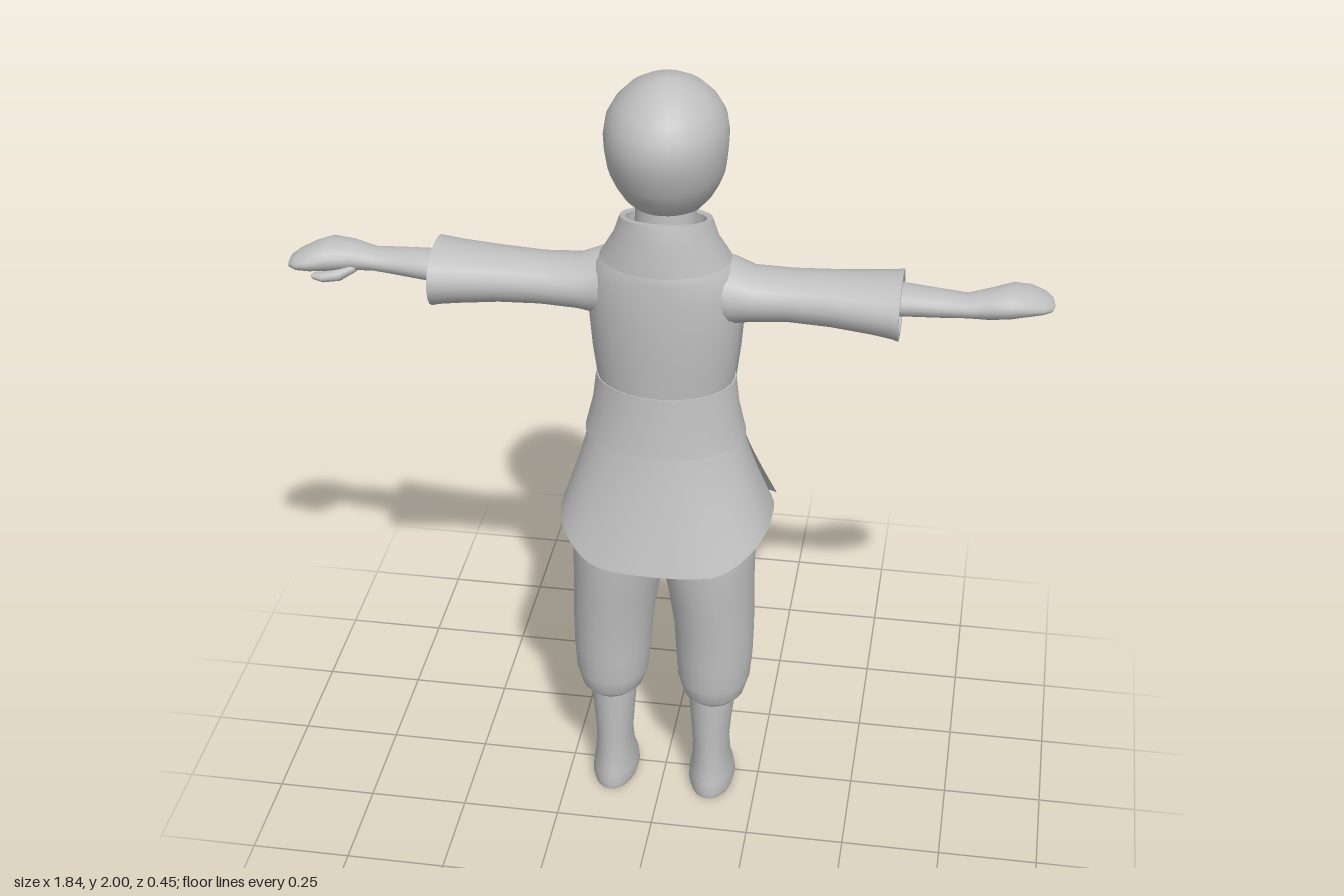
import * as THREE from 'three';

const clay = new THREE.MeshStandardMaterial({ color: 0xbfbfbf, side: THREE.DoubleSide });
clay.name = 'clay grey';

// Smooth surface from a grid of points; point(i, t) with t running 0..1 along each row
function surface(name, rows, cols, closed, point) {
  const pos = [], index = [], n = closed ? cols : cols + 1;
  for (let i = 0; i < rows; i++)
    for (let j = 0; j < n; j++) pos.push(...point(i, j / cols));
  for (let i = 0; i < rows - 1; i++)
    for (let j = 0; j < cols; j++) {
      const a = i * n + j, b = i * n + (j + 1) % n;
      index.push(a, a + n, b, b, a + n, b + n);
    }
  const geo = new THREE.BufferGeometry();
  geo.setAttribute('position', new THREE.Float32BufferAttribute(pos, 3));
  geo.setIndex(index);
  geo.computeVertexNormals();
  const mesh = new THREE.Mesh(geo, clay);
  mesh.name = name;
  return mesh;
}

// Collapsed ring that closes the end of a loft
const cap = ([p, a0, a1, b0, b1]) => {
  const a = (a0 + a1) / 2, b = (b0 + b1) / 2;
  return [p, a, a, b, b];
};

// Point on an oval ring given as [position, a0, a1, b0, b1]
const oval = ([, a0, a1, b0, b1], angle, grow = 0) => [
  (a0 + a1) / 2 + ((a1 - a0) / 2 + grow) * Math.cos(angle),
  (b0 + b1) / 2 + ((b1 - b0) / 2 + grow) * Math.sin(angle),
];

// Upright loft: rings are [y, x0, x1, zFront, zBack]
function loftY(name, rings, cols = 28) {
  return surface(name, rings.length, cols, true, (i, t) => {
    const [x, z] = oval(rings[i], t * Math.PI * 2);
    return [x, rings[i][0], z];
  });
}

// Sideways loft: rings are [x, y0, y1, z0, z1]
function loftX(name, rings, cols = 20) {
  return surface(name, rings.length, cols, true, (i, t) => {
    const [y, z] = oval(rings[i], Math.PI / 2 - t * Math.PI * 2);
    return [rings[i][0], y, z];
  });
}

const even = ([y, w, z0, z1]) => [y, -w, w, z0, z1];

// Blend of the two rings surrounding a height
function ringAt(rings, y) {
  let i = 0;
  while (i < rings.length - 2 && rings[i + 1][0] < y) i++;
  const k = (y - rings[i][0]) / (rings[i + 1][0] - rings[i][0]);
  return rings[i].map((v, j) => v + (rings[i + 1][j] - v) * k);
}

function buildHead() {
  const head = new THREE.Group();
  head.name = 'head';
  const rings = [
    [1.637, 0.035, -0.13, -0.05], [1.66, 0.078, -0.155, 0.05], [1.70, 0.108, -0.173, 0.10],
    [1.735, 0.126, -0.181, 0.127], [1.76, 0.135, -0.177, 0.14], [1.785, 0.14, -0.167, 0.15],
    [1.82, 0.144, -0.17, 0.163], [1.86, 0.146, -0.174, 0.168], [1.90, 0.14, -0.168, 0.158],
    [1.935, 0.121, -0.145, 0.135], [1.965, 0.092, -0.11, 0.10], [1.985, 0.06, -0.07, 0.066],
    [1.997, 0.026, -0.03, 0.03],
  ].map(even);
  rings.unshift(cap(rings[0]));
  rings.push([2, 0, 0, 0, 0]);
  head.add(loftY('skull', rings, 32));
  // narrow closed eyes
  for (const s of [-1, 1]) {
    const eye = new THREE.Mesh(new THREE.SphereGeometry(1, 12, 8), clay);
    eye.name = 'eye';
    eye.scale.set(0.024, 0.005, 0.006);
    eye.position.set(s * 0.06, 1.78, -0.153);
    eye.rotation.y = -s * 0.4;
    head.add(eye);
  }
  head.add(loftY('neck', [[1.52, 0.08, -0.07, 0.09], [1.7, 0.07, -0.07, 0.08]].map(even)));
  return head;
}

function buildJacket() {
  const jacket = new THREE.Group();
  jacket.name = 'jacket';
  const torso = [
    [1.20, 0.165, -0.13, 0.133], [1.30, 0.178, -0.126, 0.14], [1.40, 0.186, -0.127, 0.144],
    [1.48, 0.187, -0.126, 0.142], [1.53, 0.17, -0.12, 0.138], [1.565, 0.14, -0.112, 0.133],
    [1.60, 0.09, -0.095, 0.11],
  ].map(even);
  jacket.add(loftY('torso', torso));

  // front flap wrapping across to the left side
  jacket.add(surface('frontFlap', 9, 24, false, (i, t) => {
    const a = -2.9 + t * 2.65;
    const top = Math.min(1.51, 1.36 + 0.14 * (-a - 0.25) / 1.35);
    const y = 1.2 + (top - 1.2) * i / 8;
    const [x, z] = oval(ringAt(torso, y), a, 0.008);
    return [x, y, z];
  }));

  // folded collar, high behind and dipping to a point in front
  const collar = [
    [1.545, 0.158, -0.135, 0.142], [1.60, 0.125, -0.13, 0.135], [1.645, 0.11, -0.122, 0.122],
    [1.645, 0.11, -0.122, 0.122], [1.643, 0.096, -0.106, 0.106], [1.643, 0.096, -0.106, 0.106],
    [1.57, 0.09, -0.09, 0.1],
  ].map(even);
  jacket.add(surface('collar', collar.length, 32, true, (i, t) => {
    const a = t * Math.PI * 2, back = Math.sin(a);
    const [x, z] = oval(collar[i], a);
    const drop = i === 0 ? 0.07 * Math.max(0, -back) ** 4 : 0;
    return [x, collar[i][0] + 0.033 * back * (i ? 1 : 0.2) - drop, z];
  }));

  // waist sash with rolled edges
  const sash = [
    [1.222, 0.155, -0.12, 0.125], [1.222, 0.172, -0.137, 0.137], [1.222, 0.172, -0.137, 0.137],
    [1.14, 0.182, -0.139, 0.146], [1.066, 0.2, -0.143, 0.157], [1.066, 0.2, -0.143, 0.157],
    [1.066, 0.175, -0.12, 0.135],
  ].reverse().map(even);
  jacket.add(loftY('sash', sash));

  // flared skirt, wrapped in one turn with its overlap on the left
  jacket.add(surface('skirt', 7, 44, false, (i, t) => {
    const k = 1 - i / 6, flare = k ** 1.15;
    const a = -0.12 - 0.32 * k - (1 - t) * (Math.PI * 2 + 0.2);
    const wrap = 0.97 + 0.06 * (t > 0.9 ? (t - 0.9) * 10 : t < 0.1 ? (t - 0.1) * 3 : 0) * k + 0.03 * k;
    const c = Math.cos(a), s = Math.sin(a);
    const bulge = (v) => Math.sign(v) * Math.abs(v) ** (1 - 0.22 * k);
    const hem = 0.84 - 0.07 * Math.min(1, Math.abs(s) * 1.15) ** 2;
    return [
      bulge(c) * (0.197 + 0.07 * flare) * wrap + 0.005 * k,
      1.075 + (hem - 1.075) * k,
      0.006 + bulge(s) * (0.148 + 0.077 * flare) * wrap,
    ];
  }));
  return jacket;
}

function buildArm(name) {
  const arm = new THREE.Group();
  arm.name = name;
  // open sleeve, turned back inside the cuff
  arm.add(loftX('sleeve', [
    [0.08, 1.40, 1.56, -0.09, 0.10], [0.16, 1.385, 1.545, -0.088, 0.092],
    [0.21, 1.395, 1.523, -0.082, 0.085], [0.30, 1.40, 1.52, -0.08, 0.078],
    [0.40, 1.397, 1.524, -0.085, 0.085], [0.50, 1.388, 1.529, -0.098, 0.098],
    [0.545, 1.382, 1.533, -0.104, 0.106], [0.562, 1.377, 1.535, -0.107, 0.11],
    [0.562, 1.377, 1.535, -0.107, 0.11], [0.562, 1.395, 1.518, -0.088, 0.09],
    [0.562, 1.395, 1.518, -0.088, 0.09], [0.42, 1.415, 1.51, -0.07, 0.07],
  ]));
  const hand = [
    [0.42, 1.425, 1.51, -0.058, 0.055], [0.57, 1.435, 1.506, -0.055, 0.052],
    [0.65, 1.44, 1.502, -0.042, 0.05], [0.715, 1.445, 1.498, -0.034, 0.048],
    [0.77, 1.445, 1.514, -0.045, 0.054], [0.82, 1.448, 1.523, -0.07, 0.055],
    [0.86, 1.452, 1.512, -0.083, 0.04], [0.895, 1.455, 1.495, -0.077, 0.02],
    [0.914, 1.459, 1.482, -0.06, 0.0],
  ];
  hand.push([0.92, 1.468, 1.468, -0.03, -0.03]);
  arm.add(loftX('forearmAndHand', hand));
  // thumb folded beneath the palm
  const thumb = [
    [0.755, 1.45, 1.475, -0.04, -0.01], [0.79, 1.432, 1.465, -0.062, -0.022],
    [0.83, 1.43, 1.455, -0.07, -0.036], [0.855, 1.437, 1.452, -0.066, -0.042],
  ];
  thumb.push([0.862, 1.445, 1.445, -0.054, -0.054]);
  arm.add(loftX('thumb', [cap(thumb[0]), ...thumb], 12));
  return arm;
}

function buildLeg(name, s) {
  const leg = new THREE.Group();
  leg.name = name;
  const place = ([y, x0, x1, z0, z1]) => (s > 0 ? [y, x0, x1, z0, z1] : [y, -x1, -x0, z0, z1]);
  // baggy trouser leg gathered below the knee
  const trouser = [
    [0.302, 0.068, 0.2, -0.022, 0.122], [0.318, 0.053, 0.213, -0.035, 0.137],
    [0.36, 0.04, 0.226, -0.052, 0.145], [0.43, 0.034, 0.232, -0.068, 0.147],
    [0.52, 0.028, 0.234, -0.081, 0.151], [0.62, 0.013, 0.232, -0.095, 0.16],
    [0.71, -0.006, 0.232, -0.105, 0.167], [0.82, -0.03, 0.234, -0.11, 0.17],
    [0.95, -0.04, 0.205, -0.11, 0.145], [1.1, -0.04, 0.16, -0.1, 0.12],
  ].map(place);
  leg.add(loftY('trouserLeg', [cap(trouser[0]), ...trouser], 24));
  // soft boot with a flat sole
  const boot = [
    [0, 0.074, 0.186, -0.066, 0.132], [0, 0.074, 0.186, -0.066, 0.132],
    [0.018, 0.069, 0.19, -0.071, 0.135], [0.045, 0.071, 0.187, -0.06, 0.13],
    [0.085, 0.078, 0.18, -0.032, 0.122], [0.15, 0.081, 0.176, -0.012, 0.12],
    [0.22, 0.076, 0.181, -0.012, 0.121], [0.33, 0.066, 0.194, -0.018, 0.12],
  ].map(place);
  leg.add(loftY('boot', [cap(boot[0]), ...boot], 24));
  return leg;
}

export function createModel() {
  const model = new THREE.Group();
  model.name = 'robedFigure';
  const rightArm = buildArm('rightArm');
  rightArm.rotation.y = Math.PI;
  model.add(buildHead(), buildJacket(), buildArm('leftArm'), rightArm);
  model.add(buildLeg('leftLeg', 1), buildLeg('rightLeg', -1));
  return model;
}
